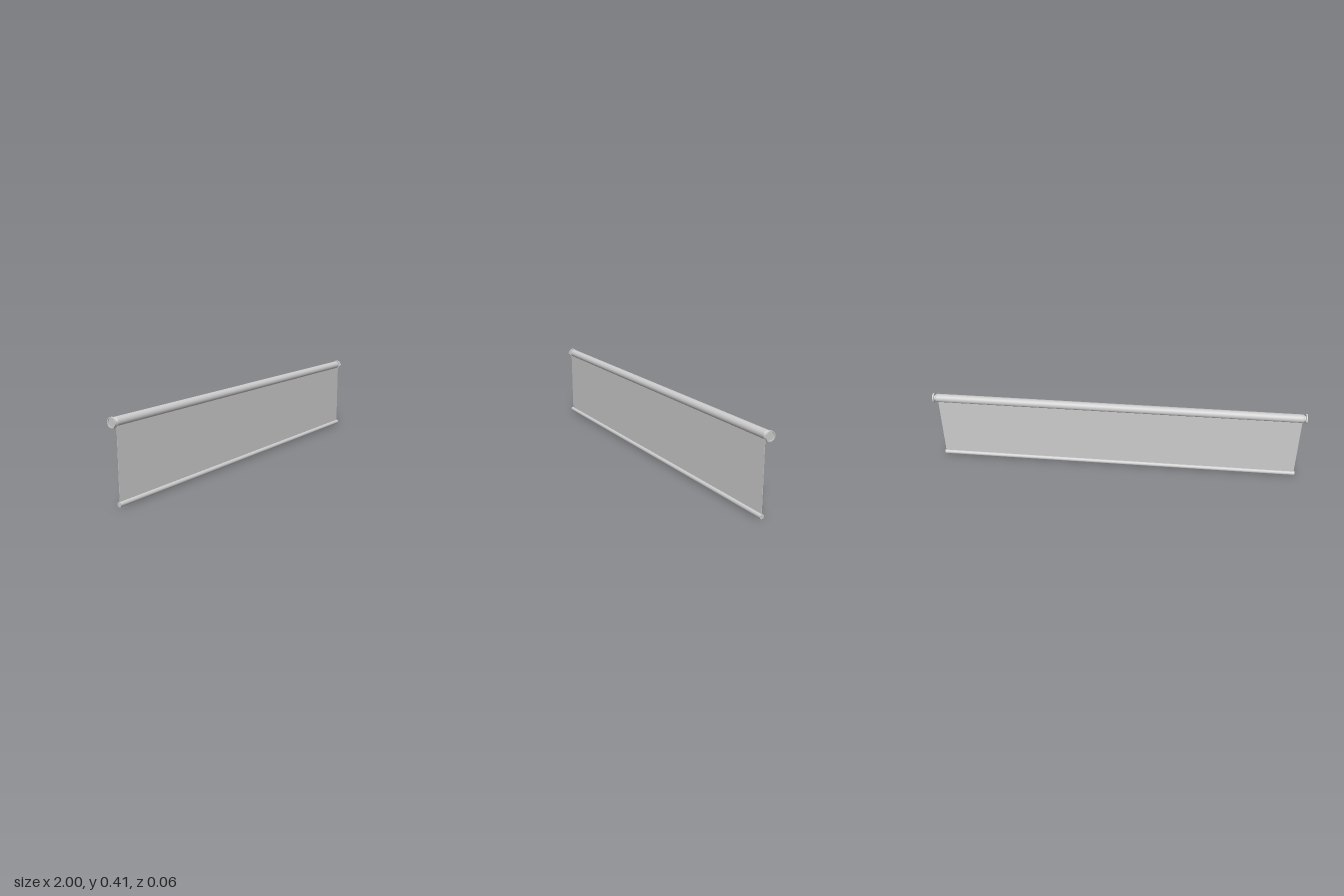
import * as THREE from 'three';

const grey = new THREE.MeshStandardMaterial({ color: 0xcccccc, side: THREE.DoubleSide });
const AXIS_Y = 0.388, AXIS_Z = -0.001;

function add(parent, name, geometry, x, y, z) {
  const mesh = new THREE.Mesh(geometry, grey);
  mesh.name = name;
  mesh.position.set(x, y, z);
  parent.add(mesh);
  return mesh;
}

// Turned solid along x from [radius, x] pairs; each segment keeps its own normals for crisp edges
function turned(parent, name, profile, y, z) {
  const group = new THREE.Group();
  group.name = name;
  for (let i = 0; i < profile.length - 1; i++) {
    const pts = [profile[i], profile[i + 1]].map(([r, x]) => new THREE.Vector2(r, x));
    add(group, name + 'Surface', new THREE.LatheGeometry(pts, 40).rotateZ(-Math.PI / 2), 0, 0, 0);
  }
  group.position.set(0, y, z);
  parent.add(group);
  return group;
}

export function createModel() {
  const model = new THREE.Group();
  model.name = 'rollerBlind';

  // Roller tube with slightly chamfered ends
  turned(model, 'rollerTube',
    [[0, -0.985], [0.019, -0.985], [0.0225, -0.977], [0.0225, 0.977], [0.019, 0.985], [0, 0.985]],
    AXIS_Y, AXIS_Z);

  // Fabric sheet hanging from the front of the tube
  const top = 0.374, bottom = 0.016;
  add(model, 'fabric', new THREE.BoxGeometry(1.965, top - bottom, 0.002), 0, (top + bottom) / 2, 0.014);

  // Round weight bar along the hem
  turned(model, 'bottomBar',
    [[0, -0.987], [0.012, -0.987], [0.012, 0.987], [0, 0.987]], 0.012, 0.015);

  // End caps: neck, flange with shallow recess, and a small front tab
  for (const side of [-1, 1]) {
    const cap = new THREE.Group();
    cap.name = side > 0 ? 'leftEndCap' : 'rightEndCap';
    const body = turned(cap, 'capFlange',
      [[0.016, 0.98], [0.016, 0.991], [0.0255, 0.991], [0.0255, 1], [0.02, 1], [0.02, 0.996], [0, 0.996]], 0, 0);
    if (side < 0) body.rotation.y = Math.PI;
    add(cap, 'capTab', new THREE.BoxGeometry(0.009, 0.009, 0.012), side * 0.9945, 0, 0.024);
    cap.position.set(0, AXIS_Y, AXIS_Z);
    model.add(cap);
  }
  return model;
}
